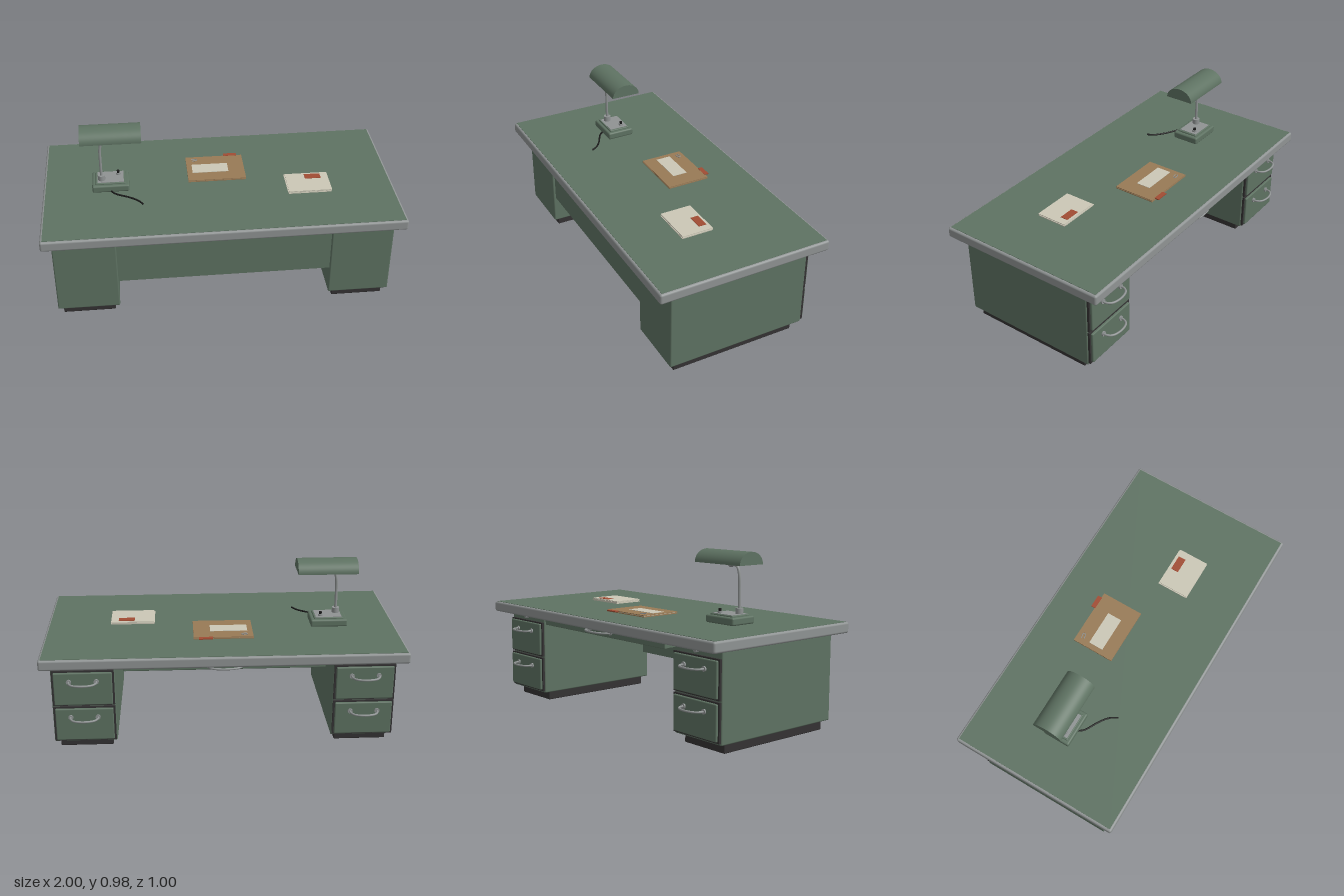
import * as THREE from 'three';
import { RoundedBoxGeometry } from 'three/addons/geometries/RoundedBoxGeometry.js';

function material(name, color, side = THREE.FrontSide) {
  const m = new THREE.MeshStandardMaterial({ color, side });
  m.name = name;
  return m;
}

export function createModel() {
  const green = material('green enamel', 0x5e7262, THREE.DoubleSide);
  const grey = material('grey metal', 0x8f9393);
  const dark = material('dark plinth', 0x343233);
  const black = material('black rubber', 0x1a1a1a);
  const cream = material('cream paper', 0xcbc7b6);
  const brown = material('brown board', 0x987a56);
  const red = material('red label', 0xa14c33);

  const model = new THREE.Group();
  model.name = 'desk';

  function add(parent, name, geometry, mat, x = 0, y = 0, z = 0) {
    const mesh = new THREE.Mesh(geometry, mat);
    mesh.name = name;
    mesh.position.set(x, y, z);
    parent.add(mesh);
    return mesh;
  }
  // Box given by its limits on each axis, with optional rounded edges
  function box(parent, name, mat, [x0, x1], [y0, y1], [z0, z1], r = 0) {
    const s = [x1 - x0, y1 - y0, z1 - z0];
    const g = r ? new RoundedBoxGeometry(...s, 2, r) : new THREE.BoxGeometry(...s);
    return add(parent, name, g, mat, (x0 + x1) / 2, (y0 + y1) / 2, (z0 + z1) / 2);
  }
  function tube(parent, name, mat, points, radius, segments = 32) {
    const curve = new THREE.CatmullRomCurve3(points.map(p => new THREE.Vector3(...p)));
    return add(parent, name, new THREE.TubeGeometry(curve, segments, radius, 10), mat);
  }
  function group(name, x = 0) {
    const g = new THREE.Group();
    g.name = name;
    g.position.x = x;
    model.add(g);
    return g;
  }
  // Bowed pull with a round foot at each end
  function handle(parent, x, y, half) {
    const z = -0.42;
    tube(parent, 'handle', grey, [
      [x - half, y, z], [x - half, y, z - 0.025], [x - half * 0.75, y, z - 0.052],
      [x, y, z - 0.065], [x + half * 0.75, y, z - 0.052], [x + half, y, z - 0.025], [x + half, y, z],
    ], 0.006);
    for (const s of [-1, 1]) {
      const foot = new THREE.CylinderGeometry(0.014, 0.014, 0.012, 16).rotateX(Math.PI / 2);
      add(parent, 'handleFoot', foot, grey, x + s * half, y, z - 0.004);
    }
  }
  function lock(parent, x, y) {
    const g = new THREE.CylinderGeometry(0.01, 0.01, 0.03, 16).rotateX(Math.PI / 2);
    add(parent, 'lock', g, grey, x, y, -0.405);
  }

  // Desk top with inlaid writing surface
  box(model, 'deskTop', grey, [-1, 1], [0.53, 0.59], [-0.5, 0.5], 0.012);
  box(model, 'writingSurface', green, [-0.987, 0.987], [0.586, 0.592], [-0.487, 0.487]);

  // Two drawer pedestals
  for (const side of [1, -1]) {
    const p = group(side > 0 ? 'leftPedestal' : 'rightPedestal', side * 0.775);
    box(p, 'cabinet', green, [-0.175, 0.175], [0.053, 0.532], [-0.397, 0.415], 0.008);
    box(p, 'plinth', dark, [-0.147, 0.147], [0, 0.056], [-0.35, 0.382], 0.005);
    for (const [y0, y1] of [[0.065, 0.272], [0.28, 0.488]]) {
      box(p, 'drawerSurround', dark, [-0.17, 0.17], [y0, y1], [-0.409, -0.394]);
      box(p, 'drawerFront', green, [-0.16, 0.16], [y0 + 0.008, y1 - 0.008], [-0.422, -0.404], 0.006);
      handle(p, 0, y0 + 0.15, 0.075);
    }
    lock(p, 0, 0.51);
  }

  // Modesty panel and shallow centre drawer
  box(model, 'modestyPanel', green, [-0.602, 0.602], [0.22, 0.52], [0.375, 0.4]);
  const centre = group('centreDrawer');
  box(centre, 'drawerTray', green, [-0.54, 0.54], [0.488, 0.531], [-0.41, -0.25]);
  box(centre, 'drawerFront', green, [-0.55, 0.55], [0.485, 0.531], [-0.421, -0.4], 0.005);
  handle(centre, 0, 0.515, 0.095);

  // Lamp base, switch and cord
  const lamp = group('lamp');
  box(lamp, 'lampBase', green, [-0.72, -0.51], [0.592, 0.635], [-0.102, 0.06], 0.01);
  box(lamp, 'lampBaseStep', green, [-0.7, -0.53], [0.63, 0.643], [-0.085, 0.042], 0.005);
  box(lamp, 'lampBasePlate', grey, [-0.69, -0.54], [0.642, 0.645], [-0.078, 0.035]);
  add(lamp, 'switchCollar', new THREE.CylinderGeometry(0.014, 0.014, 0.01, 16), grey, -0.57, 0.649, -0.05);
  add(lamp, 'switchKnob', new THREE.CylinderGeometry(0.008, 0.008, 0.016, 12), black, -0.57, 0.66, -0.05);
  tube(lamp, 'cord', black, [[-0.62, 0.6, 0.05], [-0.59, 0.598, 0.085], [-0.51, 0.598, 0.13],
    [-0.46, 0.598, 0.17], [-0.435, 0.598, 0.21]], 0.005);

  // Lamp stem
  add(lamp, 'stemCollar', new THREE.CylinderGeometry(0.021, 0.021, 0.035, 20), grey, -0.665, 0.658, 0);
  tube(lamp, 'stem', grey, [[-0.665, 0.65, 0], [-0.665, 0.76, 0], [-0.662, 0.85, 0],
    [-0.65, 0.888, 0], [-0.625, 0.903, 0], [-0.59, 0.906, 0]], 0.008, 48);
  add(lamp, 'shadeJoint', new THREE.SphereGeometry(0.02, 20, 14), grey, -0.6, 0.907, 0);

  // Half-round shade, open underneath
  const shade = new THREE.Group();
  shade.name = 'shade';
  shade.position.set(-0.6, 0.91, -0.021);
  shade.scale.set(1, 0.069, 0.085);
  lamp.add(shade);
  add(shade, 'shadeShell', new THREE.CylinderGeometry(1, 1, 0.34, 40, 1, true, 0, Math.PI).rotateZ(Math.PI / 2), green);
  for (const s of [-1, 1]) {
    add(shade, 'shadeEnd', new THREE.CircleGeometry(1, 40, 0, Math.PI).rotateY(s * Math.PI / 2), green, s * 0.17);
  }

  // Folder with a slip, tab and clip
  const folder = group('folder');
  box(folder, 'folderBack', brown, [-0.17, 0.165], [0.592, 0.597], [-0.247, 0.002]);
  box(folder, 'folderPages', cream, [-0.163, 0.158], [0.597, 0.6], [-0.24, -0.004]);
  box(folder, 'folderCover', brown, [-0.17, 0.165], [0.6, 0.604], [-0.247, 0.002]);
  box(folder, 'folderSlip', cream, [-0.14, 0.07], [0.604, 0.606], [-0.162, -0.075]);
  box(folder, 'folderTab', red, [0.058, 0.135], [0.599, 0.605], [-0.27, -0.243]);
  tube(folder, 'paperClip', grey, [[-0.14, 0.606, -0.215], [-0.112, 0.606, -0.22], [-0.105, 0.606, -0.212],
    [-0.112, 0.606, -0.205], [-0.135, 0.606, -0.2]], 0.0025);

  // Slightly uneven paper stack with a label
  const stack = group('paperStack');
  for (let i = 0; i < 4; i++) {
    const dx = 0.004 * Math.sin(i * 2.3), dz = 0.003 * Math.cos(i * 1.9);
    box(stack, 'sheet', cream, [0.387 + dx, 0.633 + dx], [0.592 + i * 0.004, 0.5955 + i * 0.004 + 0.0005], [-0.006 + dz, 0.174 + dz]);
  }
  box(stack, 'stackLabel', red, [0.5, 0.592], [0.607, 0.61], [0.01, 0.055]);

  return model;
}
